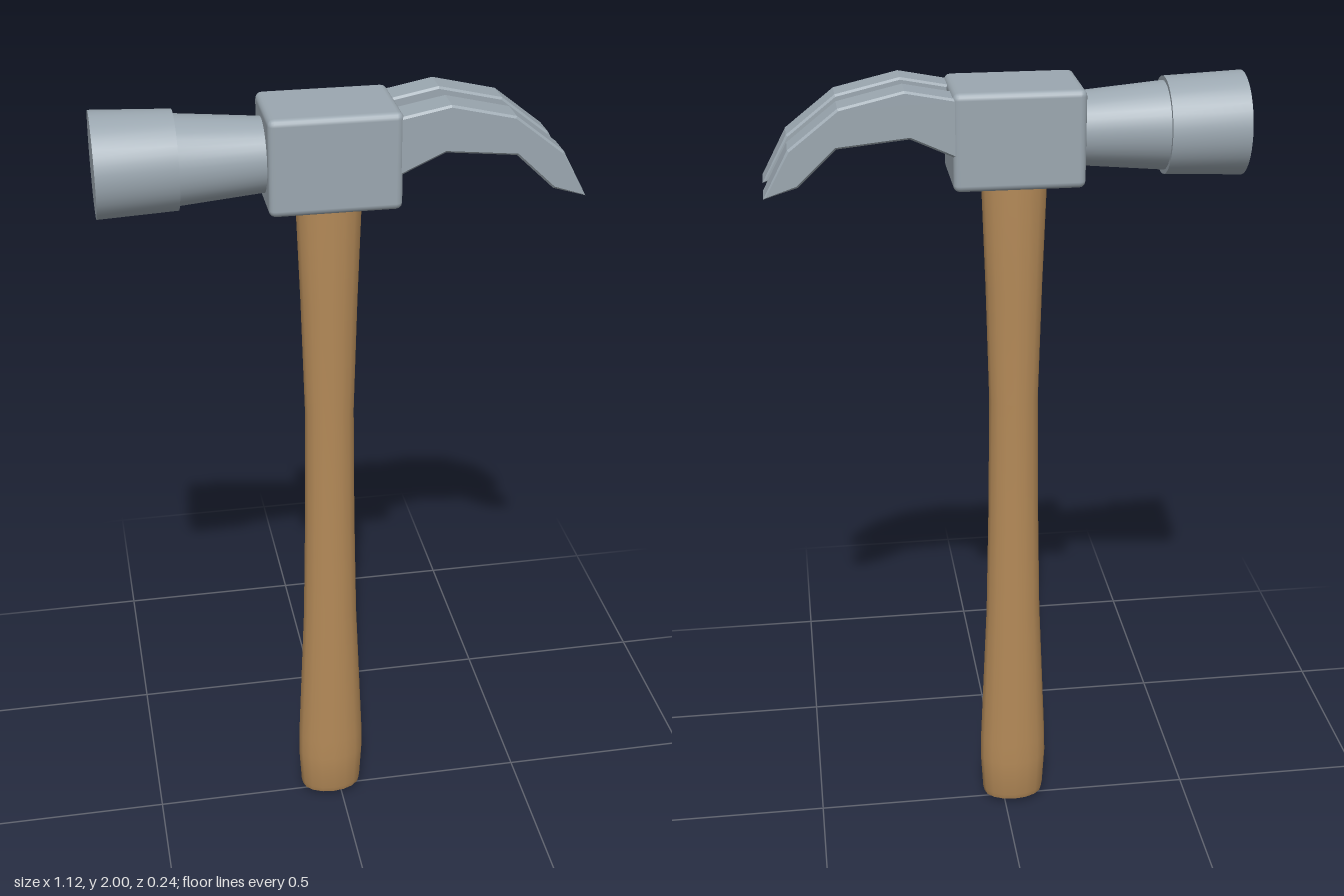
import * as THREE from 'three';
import { toCreasedNormals } from 'three/addons/utils/BufferGeometryUtils.js';
import { RoundedBoxGeometry } from 'three/addons/geometries/RoundedBoxGeometry.js';

const steel = new THREE.MeshStandardMaterial({ color: 0x9ba7b0 });
steel.name = 'steel';
const wood = new THREE.MeshStandardMaterial({ color: 0xb48a58 });
wood.name = 'wood';

const HEAD_X = -0.025;
const HEAD_Y = 1.876;

function part(name, geometry, material) {
  const mesh = new THREE.Mesh(geometry, material);
  mesh.name = name;
  return mesh;
}

// Oval handle: rings of [y, half width in x, half depth in z]
function handleGeometry() {
  const rings = [
    [0, 0.03, 0.022], [0.018, 0.078, 0.05], [0.035, 0.082, 0.056], [0.14, 0.088, 0.06],
    [0.2, 0.087, 0.06], [0.6, 0.07, 0.052], [0.9, 0.064, 0.049], [1.2, 0.061, 0.047],
    [1.5, 0.069, 0.052], [1.78, 0.079, 0.057], [1.82, 0.079, 0.057],
  ];
  const profile = [[0, 0], ...rings.map(([y, w]) => [w, y])];
  const geo = new THREE.LatheGeometry(profile.map((p) => new THREE.Vector2(...p)), 16);
  const pos = geo.attributes.position;
  for (let i = 0; i < pos.count; i++) {
    const ring = rings[Math.max(0, (i % profile.length) - 1)];
    pos.setZ(i, pos.getZ(i) * ring[2] / ring[1]);
  }
  return toCreasedNormals(geo, 0.6);
}

// Neck and striking face, turned around the x axis
function pollGeometry() {
  const points = [
    [0, -0.56], [0.121, -0.56], [0.113, -0.375], [0.103, -0.375], [0.086, -0.18], [0.086, -0.15],
  ].map(([r, x]) => new THREE.Vector2(r, x));
  const geo = new THREE.LatheGeometry(points, 40);
  geo.rotateZ(-Math.PI / 2);
  return toCreasedNormals(geo, 0.5);
}

// One faceted, curved claw prong with a fine bevel
function prongGeometry() {
  const bevel = 0.005;
  const outline = [
    [0.06, 1.975], [0.12, 1.978], [0.235, 2.0], [0.385, 1.965], [0.5, 1.875], [0.559, 1.764],
    [0.48, 1.788], [0.39, 1.873], [0.225, 1.89], [0.12, 1.842], [0.06, 1.82],
  ].map((p) => new THREE.Vector2(...p));
  const geo = new THREE.ExtrudeGeometry(new THREE.Shape(outline), {
    depth: 0.077 - 2 * bevel, bevelEnabled: true, bevelThickness: bevel,
    bevelSize: bevel, bevelOffset: -bevel, bevelSegments: 1,
  });
  return geo.translate(0, 0, bevel - 0.0385);
}

export function createModel() {
  const model = new THREE.Group();
  model.name = 'clawHammer';

  const handle = part('handle', handleGeometry(), wood);
  handle.position.x = HEAD_X;

  const head = new THREE.Group();
  head.name = 'head';
  const block = part('headBlock', new RoundedBoxGeometry(0.306, 0.228, 0.216, 2, 0.016), steel);
  block.position.set(HEAD_X, HEAD_Y, 0);
  const poll = part('strikingPoll', pollGeometry(), steel);
  poll.position.y = HEAD_Y;
  head.add(block, poll);

  // Matching prongs either side of the slot
  const prong = prongGeometry();
  for (const side of [-1, 1]) {
    const claw = part(side > 0 ? 'frontClaw' : 'rearClaw', prong, steel);
    claw.position.z = side * 0.065;
    head.add(claw);
  }

  model.add(handle, head);
  return model;
}
